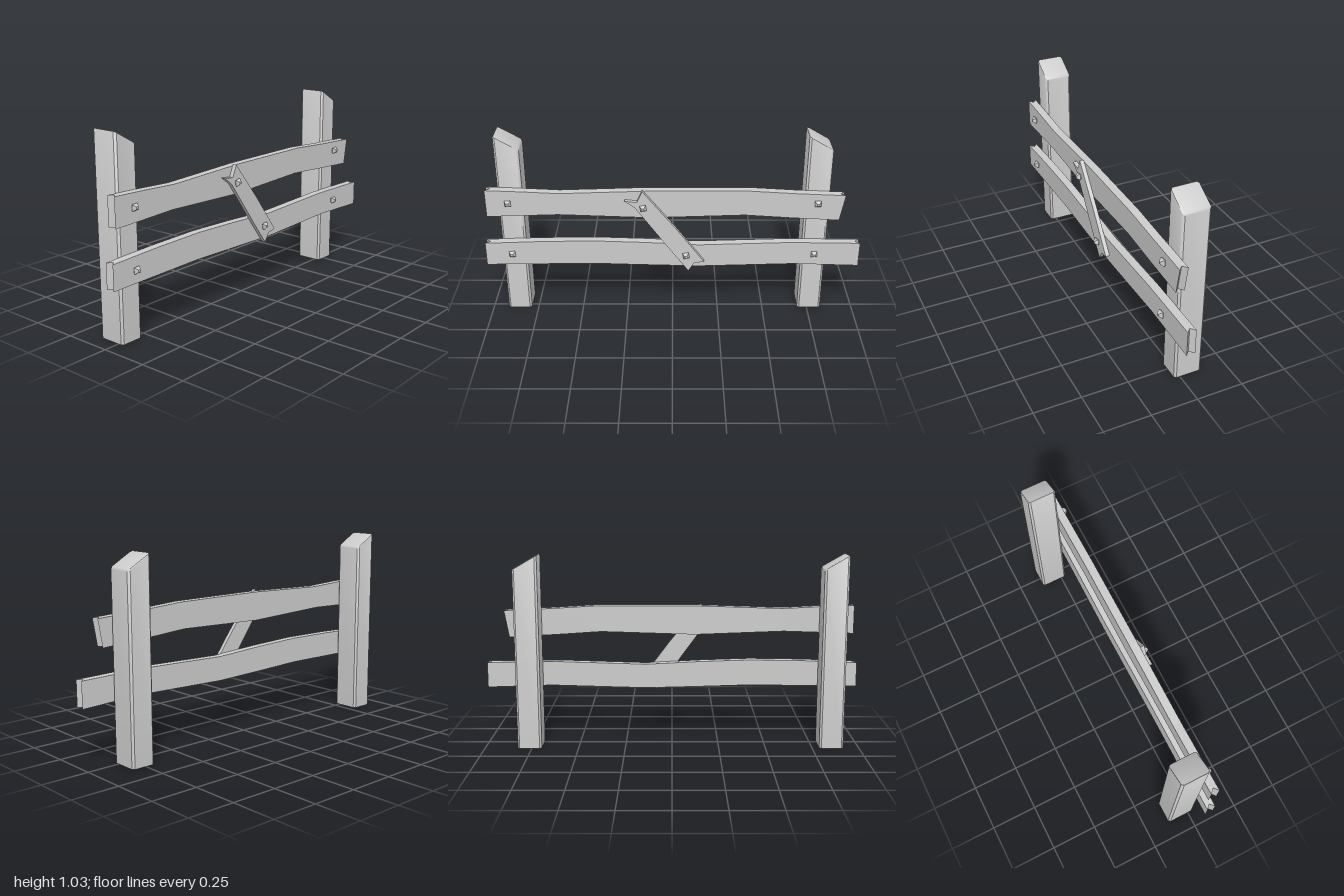
import * as THREE from 'three';
import { toCreasedNormals } from 'three/addons/utils/BufferGeometryUtils.js';

const material = new THREE.MeshStandardMaterial({ color: 0xcccccc });

function addMesh(parent, name, geometry) {
  const mesh = new THREE.Mesh(geometry, material);
  mesh.name = name;
  parent.add(mesh);
  return mesh;
}

const outline = (points) => new THREE.Shape(points.map(([x, y]) => new THREE.Vector2(x, y)));

// Move every vertex by a rule
function reshape(geometry, rule) {
  const pos = geometry.attributes.position;
  const v = new THREE.Vector3();
  for (let i = 0; i < pos.count; i++) {
    rule(v.fromBufferAttribute(pos, i));
    pos.setXYZ(i, v.x, v.y, v.z);
  }
  geometry.computeVertexNormals();
  return geometry;
}

// Square post with softened edges, a flat foot and a slanted top
function postGeometry() {
  const bevel = 0.008, c = 0.006;
  const w = 0.064 - bevel, d = 0.075 - bevel;
  const plan = outline([
    [-w + c, -d], [w - c, -d], [w, -d + c], [w, d - c],
    [w - c, d], [-w + c, d], [-w, d - c], [-w, -d + c],
  ]);
  const geometry = new THREE.ExtrudeGeometry(plan, {
    depth: 0.995 - bevel, bevelSize: bevel, bevelThickness: bevel, bevelSegments: 2,
  });
  geometry.rotateX(-Math.PI / 2);
  reshape(geometry, (v) => {
    v.y = v.y < 0.5 ? 0 : v.y - v.x * 0.58;
  });
  return toCreasedNormals(geometry, 0.7);
}

// Wavy board whose ends are split by a V groove through the thickness
function railGeometry(top, bottom) {
  const depth = 0.045;
  const geometry = new THREE.ExtrudeGeometry(outline([...bottom, ...top.slice().reverse()]), {
    depth, steps: 2, bevelEnabled: false,
  });
  return reshape(geometry, (v) => {
    const middle = Math.abs(v.z - depth / 2) < 0.005;
    if (middle && Math.abs(v.x) > 0.85) v.x -= Math.sign(v.x) * 0.025;
  });
}

// Four-sided bolt head, pointing along +z
function boltGeometry() {
  const profile = [[0.017, 0], [0.023, 0.006], [0.021, 0.012], [0.009, 0.025], [0, 0.025]];
  const geometry = new THREE.LatheGeometry(
    profile.map(([r, y]) => new THREE.Vector2(r, y)), 4, Math.PI / 4,
  ).toNonIndexed();
  geometry.rotateX(Math.PI / 2);
  geometry.computeVertexNormals();
  return geometry;
}

export function createModel() {
  const fence = new THREE.Group();
  fence.name = 'fence';

  // Posts
  const post = postGeometry();
  for (const [name, x] of [['rightPost', -0.852], ['leftPost', 0.761]]) {
    addMesh(fence, name, post).position.set(x, 0, -0.045);
  }

  // Rails
  const upper = railGeometry(
    [[-0.975, 0.75], [-0.79, 0.743], [-0.59, 0.733], [-0.12, 0.748], [0.4, 0.748], [0.65, 0.733], [0.9, 0.722]],
    [[-0.975, 0.598], [-0.6, 0.61], [-0.12, 0.592], [0.38, 0.608], [0.62, 0.592], [0.875, 0.578]],
  );
  const lower = railGeometry(
    [[-1, 0.437], [-0.7, 0.448], [-0.42, 0.452], [-0.15, 0.443], [0.14, 0.428], [0.625, 0.443], [1, 0.438]],
    [[-1, 0.306], [-0.42, 0.313], [-0.2, 0.306], [0.14, 0.297], [0.65, 0.312], [1, 0.301]],
  );
  addMesh(fence, 'upperRail', upper).position.z = 0.031;
  addMesh(fence, 'lowerRail', lower).position.z = 0.031;

  // Diagonal brace with notched ends
  const brace = new THREE.ExtrudeGeometry(outline([
    [-0.25, 0.7], [-0.195, 0.66], [-0.02, 0.42], [0.085, 0.28], [0.115, 0.327],
    [0.168, 0.338], [0.02, 0.535], [-0.157, 0.755], [-0.185, 0.692],
  ]), { depth: 0.022, bevelEnabled: false });
  addMesh(fence, 'diagonalBrace', brace).position.z = 0.076;

  // Bolts: one at each rail and post crossing, two through the brace
  const bolt = boltGeometry();
  const bolts = [
    [-0.858, 0.678, 0.076], [0.757, 0.678, 0.076],
    [-0.858, 0.375, 0.076], [0.757, 0.375, 0.076],
    [-0.153, 0.662, 0.098], [0.072, 0.378, 0.098],
  ];
  bolts.forEach(([x, y, z], i) => {
    const mesh = addMesh(fence, 'bolt', bolt);
    mesh.position.set(x, y, z);
    mesh.rotation.z = i < 4 ? 0.05 : 0.2;
  });

  return fence;
}
